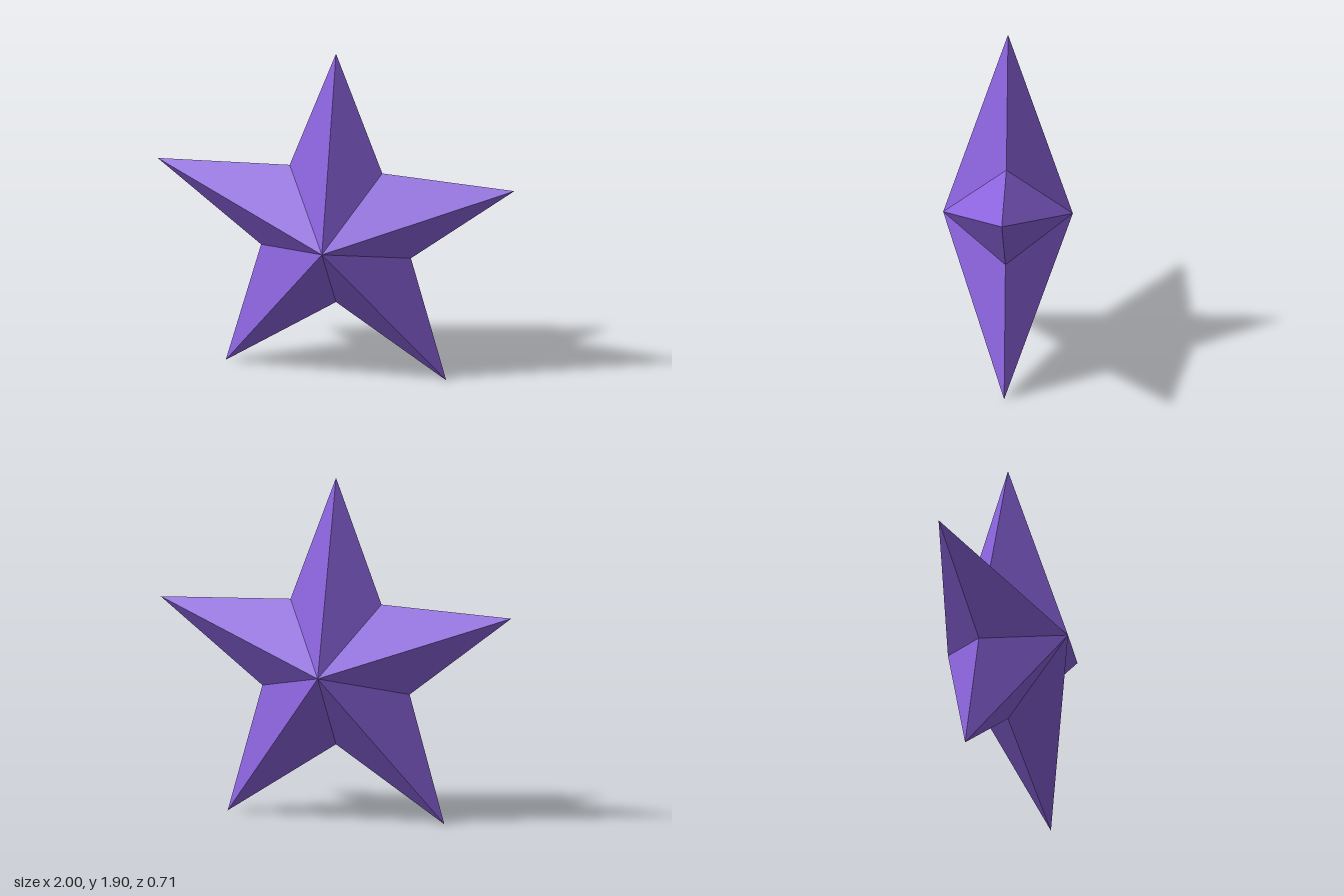
import * as THREE from 'three';

const POINTS = 5;
const OUTER = 1 / Math.cos(Math.PI / 10); // side tips land on x = +-1
const INNER = OUTER * 0.42;
const HALF_DEPTH = 0.355;
const CENTRE_Y = OUTER * Math.cos(Math.PI / 5); // lower tips rest on y = 0

// Outline corners alternate between tips and notches, starting at the top, clockwise
function corner(i) {
  const radius = i % 2 === 0 ? OUTER : INNER;
  const angle = (i * Math.PI) / POINTS;
  return [radius * Math.sin(angle), radius * Math.cos(angle), 0];
}

// Each outline edge joins the front and back apex with one facet
function starGeometry() {
  const positions = [];
  for (let i = 0; i < POINTS * 2; i++) {
    const a = corner(i);
    const b = corner(i + 1);
    positions.push(0, 0, HALF_DEPTH, ...b, ...a);
    positions.push(0, 0, -HALF_DEPTH, ...a, ...b);
  }
  const geometry = new THREE.BufferGeometry();
  geometry.setAttribute('position', new THREE.Float32BufferAttribute(positions, 3));
  geometry.computeVertexNormals();
  return geometry;
}

export function createModel() {
  const purple = new THREE.MeshStandardMaterial({ color: 0x8c64de });
  purple.name = 'purple';
  purple.flatShading = true;

  const star = new THREE.Mesh(starGeometry(), purple);
  star.name = 'star';
  star.position.y = CENTRE_Y;

  const model = new THREE.Group();
  model.name = 'facetedStar';
  model.add(star);
  return model;
}
